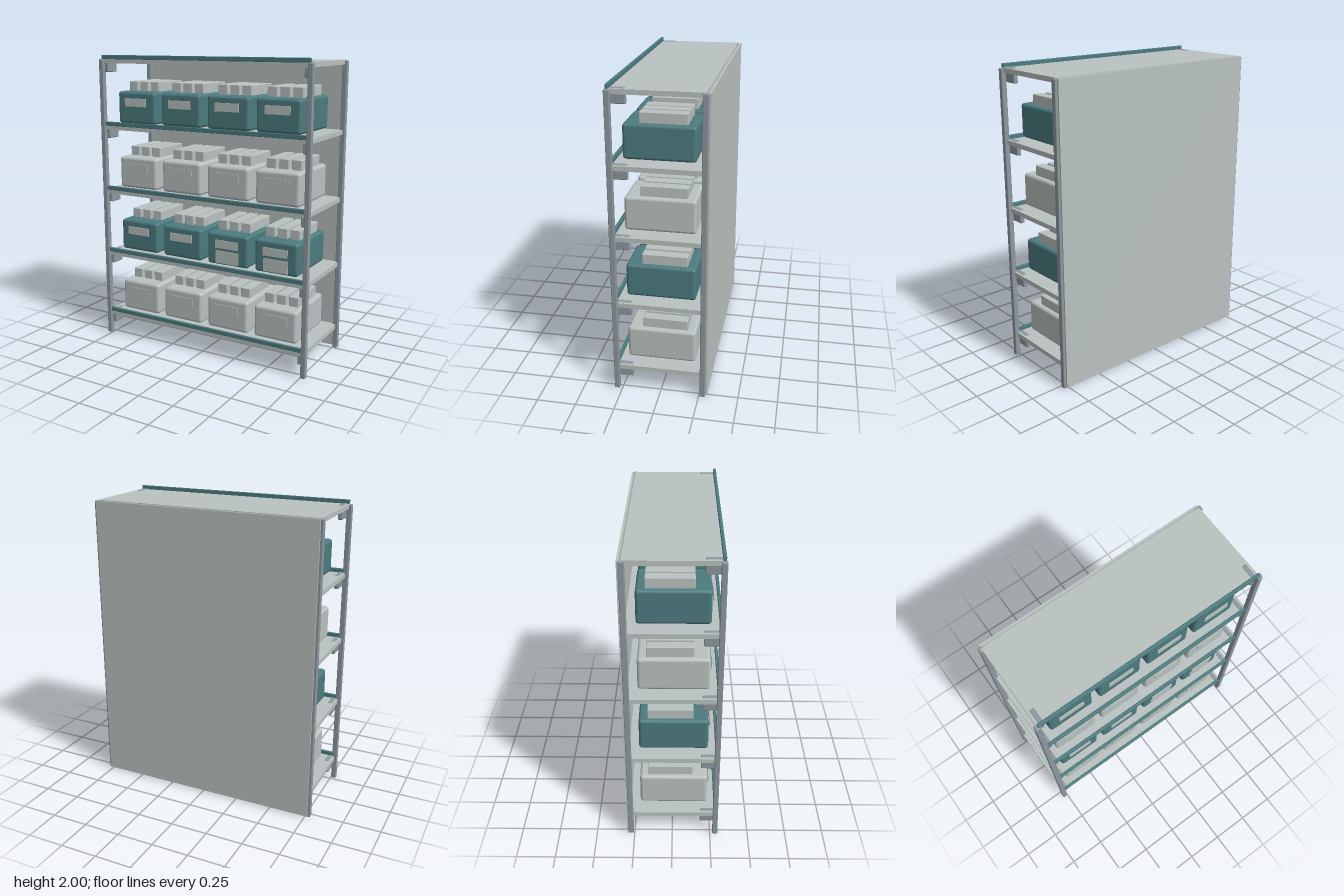
import * as THREE from 'three';
import { RoundedBoxGeometry } from 'three/addons/geometries/RoundedBoxGeometry.js';

const material = (name, color) => Object.assign(new THREE.MeshStandardMaterial({ color }), { name });

export function createModel() {
  const lightGrey = material('light grey', 0xb9c2c0);
  const steel = material('steel grey', 0x8d989f);
  const teal = material('teal', 0x4c7b7f);

  const model = new THREE.Group();
  model.name = 'storageRack';

  // Box given by its lower and upper corners, with optional rounded edges
  const box = (parent, name, mat, [x0, y0, z0], [x1, y1, z1], radius = 0) => {
    const size = [x1 - x0, y1 - y0, z1 - z0];
    const geometry = radius ? new RoundedBoxGeometry(...size, 3, radius) : new THREE.BoxGeometry(...size);
    const mesh = new THREE.Mesh(geometry, mat);
    mesh.name = name;
    mesh.position.set((x0 + x1) / 2, (y0 + y1) / 2, (z0 + z1) / 2);
    parent.add(mesh);
    return mesh;
  };

  // Four uprights and the back panel
  for (const side of [-1, 1]) {
    const a = side < 0 ? -0.785 : 0.751;
    box(model, 'frontPost', steel, [a, 0, 0.267], [a + 0.034, 1.971, 0.301], 0.005);
    box(model, 'backPost', steel, [a, 0, -0.291], [a + 0.034, 1.971, -0.256], 0.005);
  }
  box(model, 'backPanel', lightGrey, [-0.768, 0.006, -0.301], [0.768, 1.972, -0.285]);

  // A storage bin with three upright packs and a front label; origin on the shelf
  const makeBin = (mat, extraLabel) => {
    const bin = new THREE.Group();
    bin.name = 'bin';
    box(bin, 'binBody', mat, [-0.152, 0.014, -0.211], [0.152, 0.231, 0.228], 0.02);
    for (const x of [-0.088, 0, 0.088])
      box(bin, 'pack', lightGrey, [x - 0.034, 0.2, -0.156], [x + 0.034, 0.296, 0.132], 0.005);
    box(bin, 'label', lightGrey, [-0.087, 0.132, 0.235], [0.087, 0.187, 0.24]);
    if (extraLabel) box(bin, 'lowerLabel', lightGrey, [-0.087, 0.026, 0.227], [0.087, 0.112, 0.231]);
    return bin;
  };

  // Five shelves from the bottom up, the lower four loaded with bins
  for (let level = 0; level < 5; level++) {
    const top = 0.171 + level * 0.451;
    const shelf = new THREE.Group();
    shelf.name = 'shelf';
    shelf.position.y = top;
    model.add(shelf);
    box(shelf, 'board', lightGrey, [-0.768, -0.03, -0.276], [0.768, 0, 0.284]);
    box(shelf, 'frontLip', teal, [-0.766, -0.003, 0.275], [0.766, 0.025, 0.294], 0.003);
    for (const x of [-0.752, 0.722])
      box(shelf, 'bracket', steel, [x, -0.09, 0.182], [x + 0.03, 0.004, 0.28], 0.007);
    if (level === 4) continue;
    [-0.533, -0.178, 0.178, 0.533].forEach((x, i) => {
      const bin = makeBin(level % 2 ? teal : lightGrey, level === 1 && i > 1);
      bin.position.x = x;
      shelf.add(bin);
    });
  }
  return model;
}
